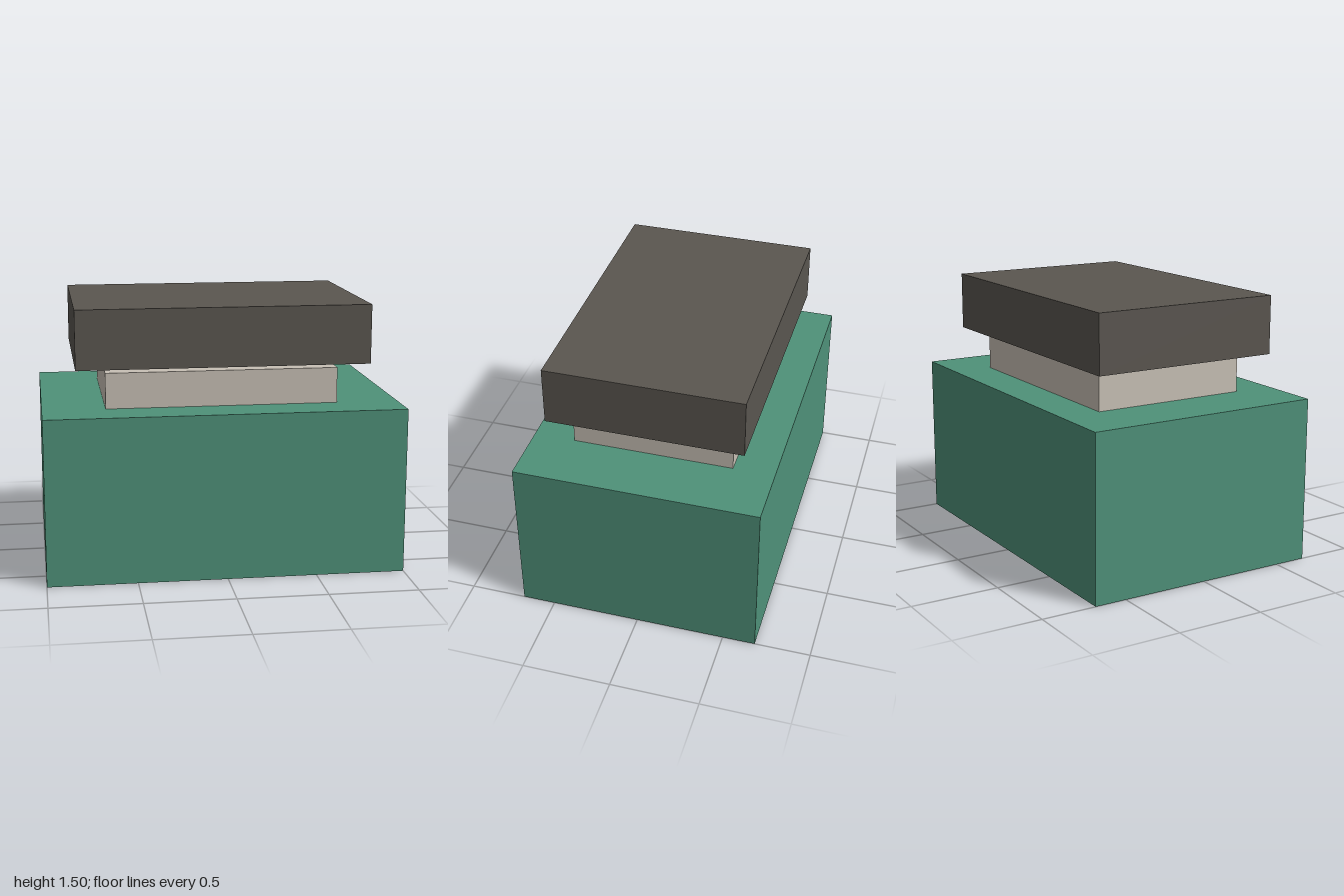
import * as THREE from 'three';

// Box spanning y0..y1, centred on x = 0 and z = 0
function block(name, width, depth, y0, y1, color) {
  const mesh = new THREE.Mesh(
    new THREE.BoxGeometry(width, y1 - y0, depth),
    new THREE.MeshStandardMaterial({ color })
  );
  mesh.position.y = (y0 + y1) / 2;
  mesh.name = name;
  return mesh;
}

export function createModel() {
  const model = new THREE.Group();
  model.name = 'box';

  // Large green body standing on the ground
  model.add(block('body', 2, 1.37, 0, 0.935, 0x4f9179));

  // Pale insert resting on the body
  model.add(block('insert', 1.3, 0.905, 0.935, 1.135, 0xc8c0b5));

  // Dark lid hovering just above the insert
  model.add(block('lid', 1.63, 1.1, 1.17, 1.5, 0x5a5650));

  return model;
}
